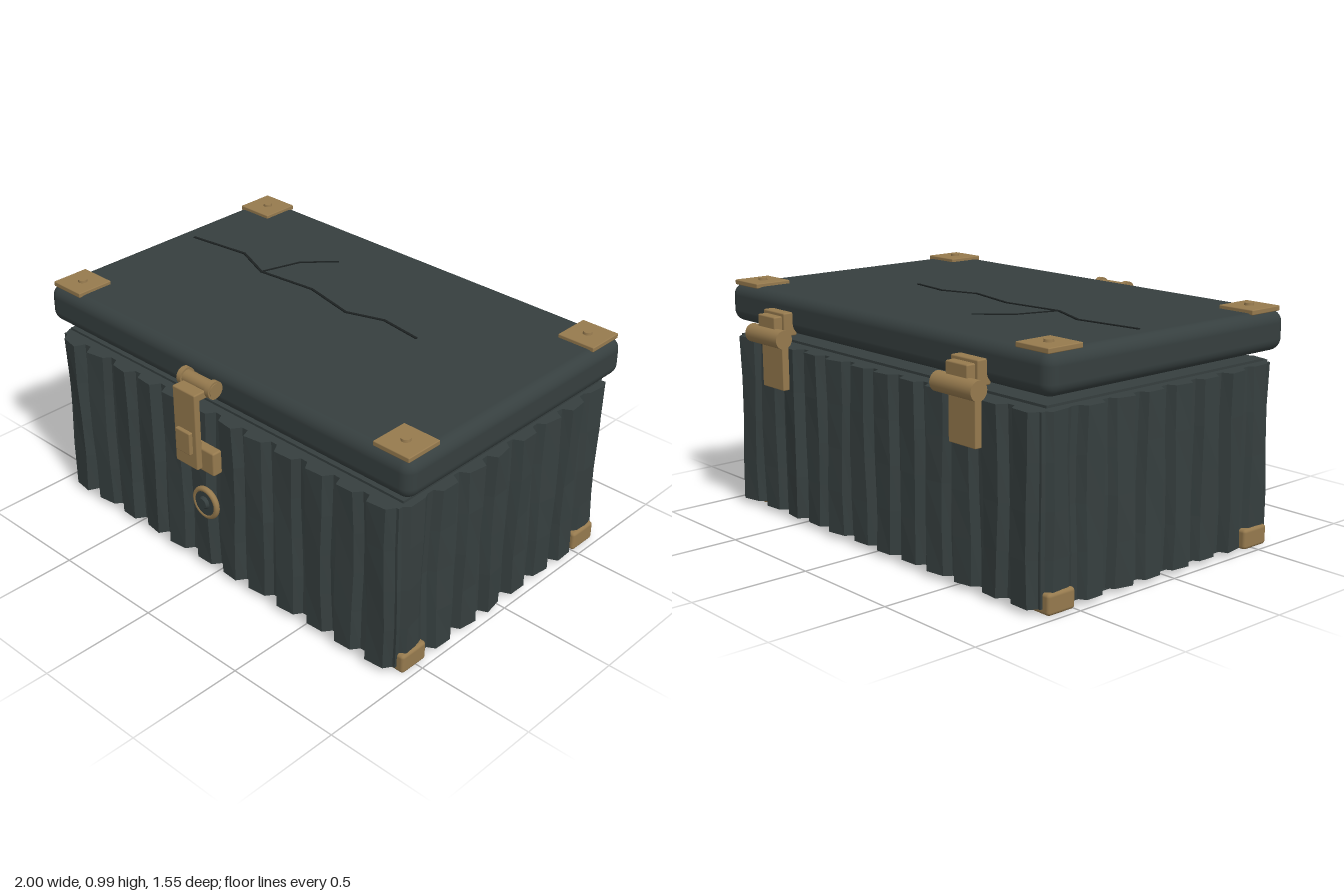
import * as THREE from 'three';
import { RoundedBoxGeometry } from 'three/addons/geometries/RoundedBoxGeometry.js';

export function createModel() {
  const root = new THREE.Group();
  const material = (name, color, flatShading = false) => {
    const m = new THREE.MeshStandardMaterial({ color, flatShading });
    m.name = name;
    return m;
  };
  const shell = material('dark slate', 0x363f3f);
  const brass = material('aged brass', 0x967a4e);
  const black = material('crack black', 0x1c2121);
  const CZ = -0.025;

  const add = (name, geometry, mat, x, y, z, parent = root) => {
    const mesh = new THREE.Mesh(geometry, mat);
    mesh.name = name;
    mesh.position.set(x, y, z);
    parent.add(mesh);
    return mesh;
  };
  // Rounded block given by its limits on each axis
  const block = (name, mat, [x0, x1], [y0, y1], [z0, z1], r = 0.006, parent = root) =>
    add(name, new RoundedBoxGeometry(x1 - x0, y1 - y0, z1 - z0, 2, r), mat,
      (x0 + x1) / 2, (y0 + y1) / 2, (z0 + z1) / 2, parent);
  const barrel = (name, r, length, x, y, z, parent = root) => {
    const g = new THREE.CylinderGeometry(r, r, length, 24).rotateZ(Math.PI / 2);
    return add(name, g, brass, x, y, z, parent);
  };

  let seed = 7;
  const rand = () => (seed = (seed * 16807) % 2147483647) / 2147483647;

  // Corrugated body: walk the four walls, adding trapezoid ribs to each
  const hx = 0.943, hz = 0.62;
  const points = [];
  const wall = (ax, ay, bx, by, ribs) => {
    const len = Math.hypot(bx - ax, by - ay);
    const dx = (bx - ax) / len, dy = (by - ay) / len, p = len / ribs;
    const put = (s, out) => points.push(new THREE.Vector2(ax + dx * s + dy * out, ay + dy * s - dx * out));
    put(0, 0);
    for (let i = 0; i < ribs; i++) {
      const end = i === 0 || i === ribs - 1;
      const depth = end && ribs < 10 ? 0.018 : 0.036;
      const tilt = (rand() - 0.5) * 0.016;
      put((i + 0.13) * p, 0);
      put((i + 0.26) * p, depth + tilt);
      put((i + 0.78) * p, depth - tilt);
      put((i + 0.93) * p, 0);
    }
  };
  wall(-hx, -hz, hx, -hz, 12);
  wall(hx, -hz, hx, hz, 8);
  wall(hx, hz, -hx, hz, 12);
  wall(-hx, hz, -hx, -hz, 8);
  const bodyGeo = new THREE.ExtrudeGeometry(new THREE.Shape(points),
    { depth: 0.725, steps: 4, bevelEnabled: false }).rotateX(-Math.PI / 2);
  // Slight warp along the height of the ribs
  const pos = bodyGeo.attributes.position;
  for (let i = 0; i < pos.count; i++) {
    const x = pos.getX(i), y = pos.getY(i), z = pos.getZ(i);
    pos.setX(i, x + 0.005 * Math.sin(y * 8 + z * 23 + x * 11));
    pos.setZ(i, z + 0.003 * Math.sin(y * 7 + x * 19));
  }
  bodyGeo.computeVertexNormals();
  const ribbed = material('ribbed slate', 0x363f3f, true);
  add('corrugatedBody', bodyGeo, ribbed, 0, 0.022, CZ);
  add('floorPlate', new THREE.BoxGeometry(1.86, 0.02, 1.2), shell, 0, 0.02, CZ);
  add('gasket', new THREE.BoxGeometry(1.87, 0.01, 1.18), shell, 0, 0.76, CZ);

  // Lid
  const lid = new THREE.Group();
  lid.name = 'lid';
  root.add(lid);
  add('lidPanel', new RoundedBoxGeometry(2, 0.163, 1.28, 5, 0.05), shell, 0, 0.883, CZ, lid);
  add('lidLip', new THREE.BoxGeometry(1.78, 0.008, 1.06), shell, 0, 0.8, CZ, lid);

  // Cracks across the lid, each a run of thin strips
  const crack = (path, width) => {
    for (let i = 1; i < path.length; i++) {
      const [x0, z0] = path[i - 1], [x1, z1] = path[i];
      const g = new THREE.BoxGeometry(Math.hypot(x1 - x0, z1 - z0) + 0.004, 0.006, width);
      const m = add('lidCrack', g, black, (x0 + x1) / 2, 0.9655, (z0 + z1) / 2, lid);
      m.rotation.y = -Math.atan2(z1 - z0, x1 - x0);
    }
  };
  crack([[-0.9, -0.12], [-0.62, -0.157], [-0.44, -0.083], [-0.17, -0.113],
    [0.07, -0.06], [0.23, -0.115], [0.42, -0.09]], 0.011);
  crack([[-0.44, -0.083], [-0.385, -0.26], [-0.27, -0.38]], 0.007);

  // Corner plates with rivets, and corner feet
  for (const s of [-1, 1]) {
    const side = (a, b) => (s > 0 ? [a, b] : [-b, -a]);
    for (const [z0, z1] of [[0.43, 0.597], [-0.65, -0.483]]) {
      block('cornerPlate', brass, side(0.812, 0.98), [0.958, 0.979], [z0, z1], 0.004, lid);
      add('cornerRivet', new THREE.CylinderGeometry(0.018, 0.02, 0.014, 20), brass,
        s * 0.893, 0.982, (z0 + z1) / 2, lid);
    }
    for (const z of [[0.447, 0.582], [-0.632, -0.497]]) {
      block('cornerFoot', brass, side(0.835, 0.972), [0, 0.084], z, 0.014);
    }

    // Rear hinge
    const hinge = new THREE.Group();
    hinge.name = 'hinge';
    root.add(hinge);
    barrel('hingeBarrel', 0.039, 0.228, s * 0.605, 0.797, -0.736, hinge);
    block('hingeLidLeaf', brass, side(0.53, 0.68), [0.8, 0.898], [-0.707, -0.645], 0.006, hinge);
    block('hingeKnuckle', brass, side(0.545, 0.665), [0.8, 0.884], [-0.745, -0.69], 0.006, hinge);
    block('hingeBodyLeaf', brass, side(0.53, 0.68), [0.574, 0.762], [-0.72, -0.688], 0.004, hinge);
  }

  // Front latch
  const latch = new THREE.Group();
  latch.name = 'latch';
  root.add(latch);
  barrel('latchBarrel', 0.029, 0.184, 0, 0.919, 0.675, latch);
  for (const s of [-1, 1]) barrel('latchBarrelEnd', 0.037, 0.022, s * 0.078, 0.919, 0.675, latch);
  block('latchArm', brass, [-0.062, 0.062], [0.884, 0.918], [0.68, 0.758], 0.006, latch);
  block('latchStrap', brass, [-0.062, 0.062], [0.585, 0.912], [0.73, 0.758], 0.006, latch);
  block('latchTab', brass, [-0.04, 0.04], [0.65, 0.748], [0.752, 0.774], 0.005, latch);
  block('strikePlate', brass, [-0.092, 0.092], [0.543, 0.647], [0.657, 0.703], 0.008, latch);

  // Round medallion below the latch
  const medallion = new THREE.Group();
  medallion.name = 'medallion';
  medallion.position.set(0, 0.365, 0.668);
  root.add(medallion);
  const rim = add('medallionRim', new THREE.TorusGeometry(0.06, 0.012, 10, 36), brass, 0, 0, 0, medallion);
  rim.scale.z = 1.1;
  add('medallionDisc', new THREE.CylinderGeometry(0.055, 0.055, 0.02, 32).rotateX(Math.PI / 2),
    shell, 0, 0, 0, medallion);
  add('medallionStud', new THREE.CylinderGeometry(0.022, 0.03, 0.016, 24).rotateX(Math.PI / 2),
    shell, 0, 0.005, 0.015, medallion);

  return root;
}
